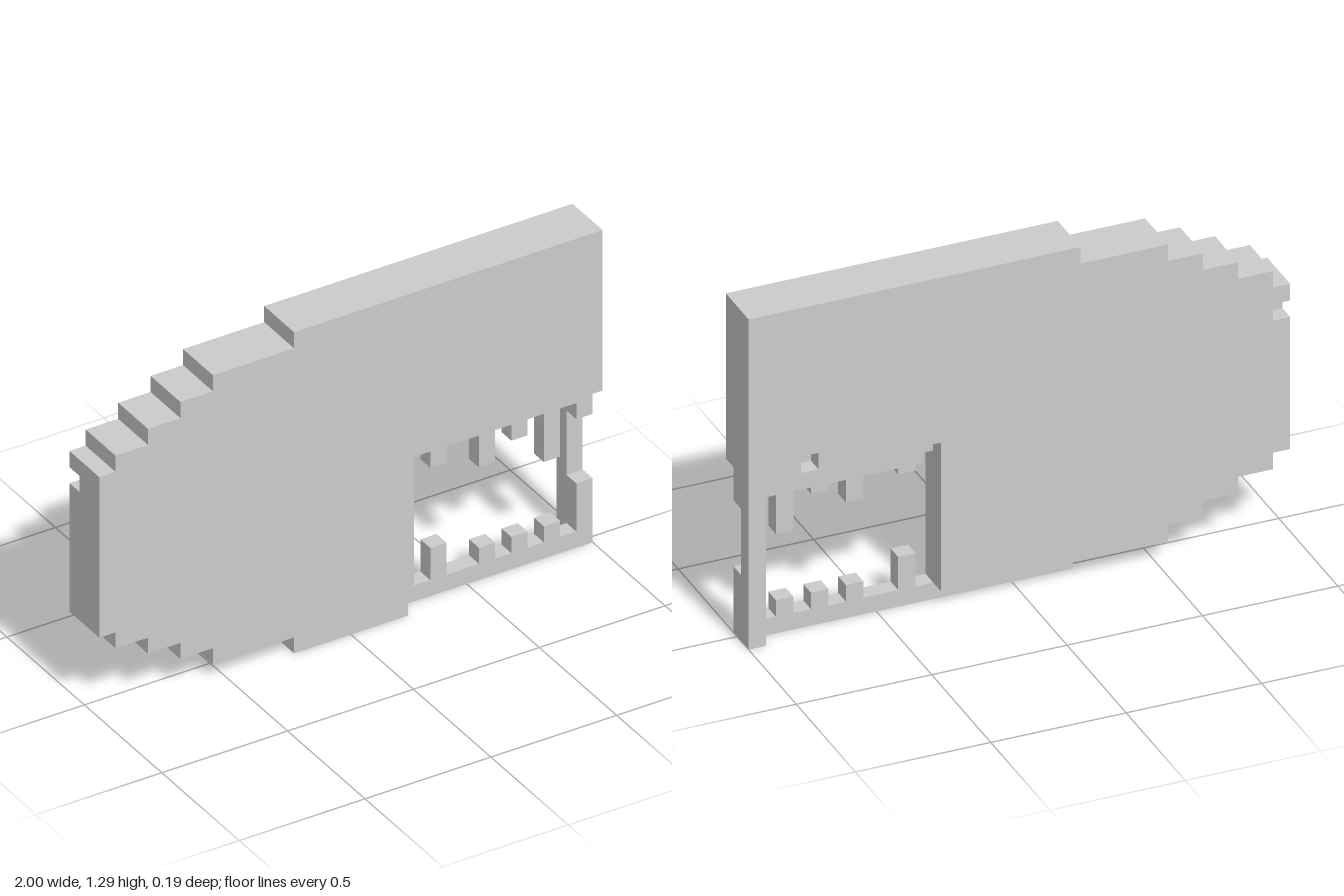
import * as THREE from 'three';

const U = 2 / 31; // one block; the panel is 31 x 20 x 3 blocks
const material = new THREE.MeshStandardMaterial({ color: 0xcccccc, flatShading: true });

// Stepped left end, in block units: upper stairs going down, lower stairs mirrored
const upper = [[12, 20], [12, 19], [7, 19], [7, 18], [5, 18], [5, 17], [3, 17], [3, 16], [1, 16], [1, 15], [0, 15]];
const lower = upper.map(([x, y]) => [x, 20 - y]).reverse();

const toPoints = (list) => list.map(([x, y]) => new THREE.Vector2(x * U - 1, y * U));

// One block thick plate; layer 0 = back, 1 = middle, 2 = front
function plate(name, outline, layer, holes = []) {
  const shape = new THREE.Shape(toPoints(outline));
  holes.forEach((h) => shape.holes.push(new THREE.Path(toPoints(h))));
  const geometry = new THREE.ExtrudeGeometry(shape, { depth: U, bevelEnabled: false });
  const mesh = new THREE.Mesh(geometry, material);
  mesh.name = name;
  mesh.position.z = (layer - 1.5) * U;
  return mesh;
}

export function createModel() {
  const group = new THREE.Group();
  group.name = 'steppedPanel';

  // Front plate with the lower right corner left out
  group.add(plate('frontPlate', [[31, 10], [31, 20], ...upper, ...lower, [19, 0], [19, 10]], 2));

  // Middle plate: window frame with a gap in its right post
  group.add(plate('windowFramePlate', [
    [31, 8], [31, 20], ...upper, ...lower, [31, 0], [31, 4], [30, 4],
    [30, 1], [20, 1], [20, 9], [30, 9], [30, 8],
  ], 1));

  // Back plate: open below the window, notched at the left end and window corner, with a small pocket
  group.add(plate('backPlate', [
    [31, 0], [31, 20], ...upper, [0, 14], [1, 14], [1, 13], [0, 13], ...lower.slice(0, -2),
    [20, 1], [20, 10], [21, 10], [21, 9], [30, 9], [30, 0],
  ], 0, [[[27, 10], [27, 11], [28, 11], [28, 10]]]));

  // Teeth in the window: column, upper length, lower length
  const teeth = new THREE.Group();
  teeth.name = 'windowTeeth';
  const addTooth = (name, column, bottom, height) => {
    const tooth = new THREE.Mesh(new THREE.BoxGeometry(U, height * U, U), material);
    tooth.name = name;
    tooth.position.set((column + 0.5) * U - 1, (bottom + height / 2) * U, 0);
    teeth.add(tooth);
  };
  for (const [column, up, low] of [[21, 1, 2], [24, 2, 1], [26, 1, 1], [28, 3, 1]]) {
    addTooth('upperTooth', column, 9 - up, up);
    addTooth('lowerTooth', column, 1, low);
  }
  group.add(teeth);
  return group;
}
